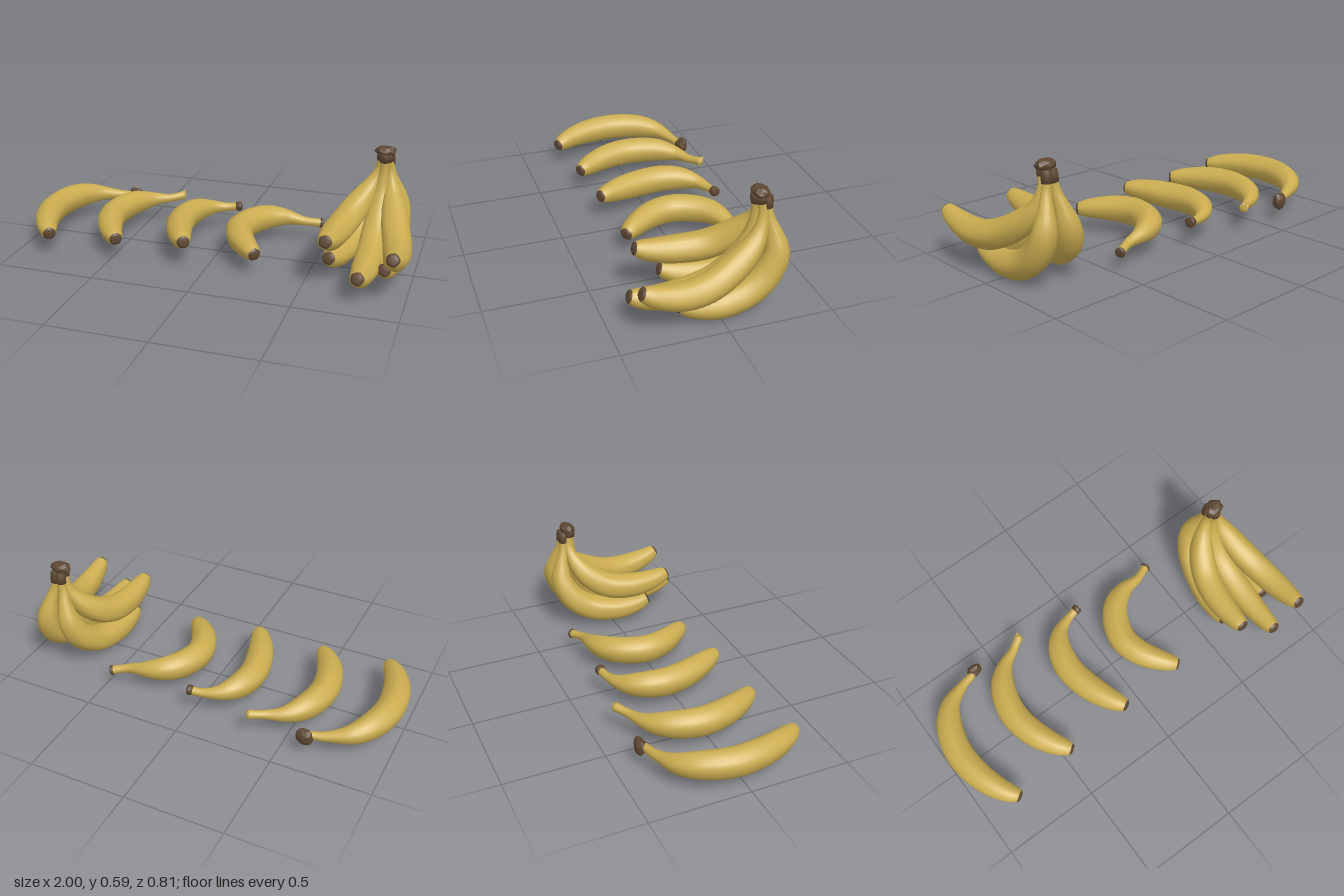
import * as THREE from 'three';

const yellow = new THREE.MeshStandardMaterial({ color: 0xcaac50 });
yellow.name = 'ripe yellow';
const brown = new THREE.MeshStandardMaterial({ color: 0x5e4732 });
brown.name = 'dry brown';
const brownFlat = brown;

const SIDES = 20;

// Radius along the fruit, from blossom tip (t = 0) to stem end (t = 1)
const PROFILE = new THREE.SplineCurve([
  [0, 0.027], [0.05, 0.043], [0.12, 0.054], [0.22, 0.064], [0.33, 0.069], [0.44, 0.07], [0.55, 0.068],
  [0.65, 0.061], [0.73, 0.049], [0.8, 0.035], [0.87, 0.025], [0.93, 0.021], [1, 0.023],
].map(([t, r]) => new THREE.Vector2(t, r))).getPoints(48);

function radiusAt(t) {
  let i = 1;
  while (i < PROFILE.length - 1 && PROFILE[i].x < t) i++;
  const a = PROFILE[i - 1], b = PROFILE[i];
  return a.y + (b.y - a.y) * (t - a.x) / (b.x - a.x);
}

// Sweeps a softly five-sided ring along a curve; stations are [t, radius]
function sweep(curve, ref, stations) {
  const positions = [], index = [];
  stations.forEach(([t, r], i) => {
    const p = curve.getPointAt(t), T = curve.getTangentAt(t);
    const N = ref.clone().addScaledVector(T, -ref.dot(T)).normalize();
    const B = T.clone().cross(N);
    for (let j = 0; j < SIDES; j++) {
      const a = j / SIDES * Math.PI * 2;
      const k = r * (1 + 0.03 * Math.cos(5 * a));
      const v = p.clone().addScaledVector(N, k * Math.cos(a)).addScaledVector(B, k * Math.sin(a));
      positions.push(v.x, v.y, v.z);
      if (i < stations.length - 1) {
        const q = i * SIDES + j, s = i * SIDES + (j + 1) % SIDES;
        index.push(q, s, q + SIDES, s, s + SIDES, q + SIDES);
      }
    }
  });
  const g = new THREE.BufferGeometry();
  g.setAttribute('position', new THREE.Float32BufferAttribute(positions, 3));
  g.setIndex(index);
  g.computeVertexNormals();
  return g;
}

function add(parent, name, geometry, material) {
  const mesh = new THREE.Mesh(geometry, material);
  mesh.name = name;
  parent.add(mesh);
  return mesh;
}

// One banana: peel, brown blossom tip, and stem end that is brown from brownFrom on
function banana(name, points, ref, brownFrom) {
  const group = new THREE.Group();
  group.name = name;
  const curve = new THREE.CatmullRomCurve3(points.map(p => new THREE.Vector3(...p)));
  const tipEnd = 0.012;
  const peel = [[tipEnd, radiusAt(tipEnd)]];
  for (const s of PROFILE) if (s.x > tipEnd + 0.005 && s.x < brownFrom - 0.005) peel.push([s.x, s.y]);
  peel.push([brownFrom, radiusAt(brownFrom)]);
  if (brownFrom === 1) peel.push([1, 0]);
  add(group, 'peel', sweep(curve, ref, peel), yellow);
  add(group, 'blossomTip', sweep(curve, ref, [[0, 0], [0, 0.02], [0.004, 0.026], [tipEnd, 0.032]]), brown);
  if (brownFrom < 1) {
    const mid = (brownFrom + 1) / 2;
    add(group, 'stemEnd', sweep(curve, ref,
      [[brownFrom, 0], [brownFrom, 0.023], [mid, 0.026], [0.995, 0.025], [1, 0.018], [1, 0]]), brown);
  }
  return group;
}

// Rough lump of dried stem
function lump(parent, name, position, scale) {
  const g = new THREE.IcosahedronGeometry(1, 1);
  const p = g.attributes.position;
  for (let i = 0; i < p.count; i++) {
    const x = p.getX(i), y = p.getY(i), z = p.getZ(i);
    const k = 1 + 0.12 * Math.sin(5 * x + 2 * y) * Math.cos(4 * z - 3 * y);
    p.setXYZ(i, x * k, y * k, z * k);
  }
  g.scale(...scale);
  g.translate(...position);
  g.computeVertexNormals();
  return add(parent, name, g, brownFlat);
}

export function createModel() {
  const model = new THREE.Group();
  model.name = 'bananas';
  const up = new THREE.Vector3(0, 1, 0), side = new THREE.Vector3(1, 0, 0);

  // Four loose bananas lying in a row
  const first = banana('looseBanana1', [
    [-0.805, 0.125, 0.325], [-0.87, 0.135, 0.225], [-0.915, 0.14, 0.1], [-0.928, 0.14, -0.05], [-0.89, 0.138, -0.19],
    [-0.82, 0.128, -0.285], [-0.71, 0.115, -0.34], [-0.64, 0.112, -0.36], [-0.6, 0.11, -0.38]], up, 0.95);
  lump(first, 'driedCrown', [-0.618, 0.107, -0.375], [0.043, 0.046, 0.028]);

  const second = banana('looseBanana2', [
    [-0.455, 0.125, 0.285], [-0.52, 0.13, 0.195], [-0.572, 0.135, 0.08], [-0.592, 0.135, -0.05], [-0.557, 0.135, -0.19],
    [-0.485, 0.13, -0.285], [-0.395, 0.13, -0.335], [-0.325, 0.14, -0.38]], up, 1);
  const spur = add(second, 'stemSpur', new THREE.ConeGeometry(0.012, 0.035, 6), yellow);
  spur.position.set(-0.328, 0.155, -0.388);
  spur.rotation.x = -0.5;

  const third = banana('looseBanana3', [
    [-0.1, 0.15, 0.272], [-0.16, 0.142, 0.16], [-0.207, 0.135, 0.02], [-0.218, 0.135, -0.09], [-0.19, 0.135, -0.2],
    [-0.13, 0.13, -0.275], [-0.05, 0.127, -0.312], [0.025, 0.135, -0.328]], up, 0.96);

  const fourth = banana('looseBanana4', [
    [0.26, 0.12, 0.245], [0.19, 0.128, 0.165], [0.13, 0.133, 0.07], [0.105, 0.135, -0.03], [0.13, 0.135, -0.13],
    [0.19, 0.135, -0.215], [0.285, 0.128, -0.265], [0.38, 0.112, -0.278], [0.475, 0.095, -0.318]], up, 0.98);
  model.add(first, second, third, fourth);

  // Bunch of five hanging from one crown
  const bunch = new THREE.Group();
  bunch.name = 'bunch';
  bunch.add(
    banana('upperRightBanana', [
      [0.615, 0.27, 0.32], [0.615, 0.243, 0.22], [0.622, 0.23, 0.1], [0.645, 0.243, -0.02], [0.68, 0.29, -0.11],
      [0.73, 0.37, -0.18], [0.77, 0.46, -0.21], [0.785, 0.56, -0.2]], side, 0.95),
    banana('upperLeftBanana', [
      [0.94, 0.255, 0.39], [0.938, 0.218, 0.31], [0.932, 0.192, 0.19], [0.915, 0.2, 0.07], [0.888, 0.243, -0.04],
      [0.865, 0.305, -0.13], [0.845, 0.375, -0.188], [0.828, 0.46, -0.212], [0.815, 0.56, -0.2]], side, 0.95),
    banana('middleBanana', [
      [0.785, 0.142, 0.4], [0.787, 0.117, 0.33], [0.788, 0.103, 0.22], [0.79, 0.112, 0.1], [0.79, 0.15, -0.02],
      [0.79, 0.23, -0.12], [0.792, 0.33, -0.172], [0.797, 0.45, -0.19], [0.8, 0.56, -0.185]], side, 0.95),
    banana('lowerLeftBanana', [
      [0.88, 0.11, 0.2], [0.88, 0.082, 0.11], [0.878, 0.07, 0], [0.875, 0.103, -0.13], [0.872, 0.175, -0.22],
      [0.868, 0.275, -0.268], [0.85, 0.36, -0.262], [0.828, 0.45, -0.24], [0.815, 0.55, -0.232]], side, 0.93),
    banana('lowerRightBanana', [
      [0.61, 0.135, 0.2], [0.622, 0.105, 0.11], [0.64, 0.095, 0], [0.672, 0.118, -0.13], [0.7, 0.18, -0.22],
      [0.732, 0.275, -0.268], [0.755, 0.36, -0.262], [0.775, 0.45, -0.24], [0.79, 0.55, -0.232]], side, 0.93));
  lump(bunch, 'crown', [0.8, 0.565, -0.205], [0.053, 0.029, 0.04]);
  model.add(bunch);
  return model;
}
